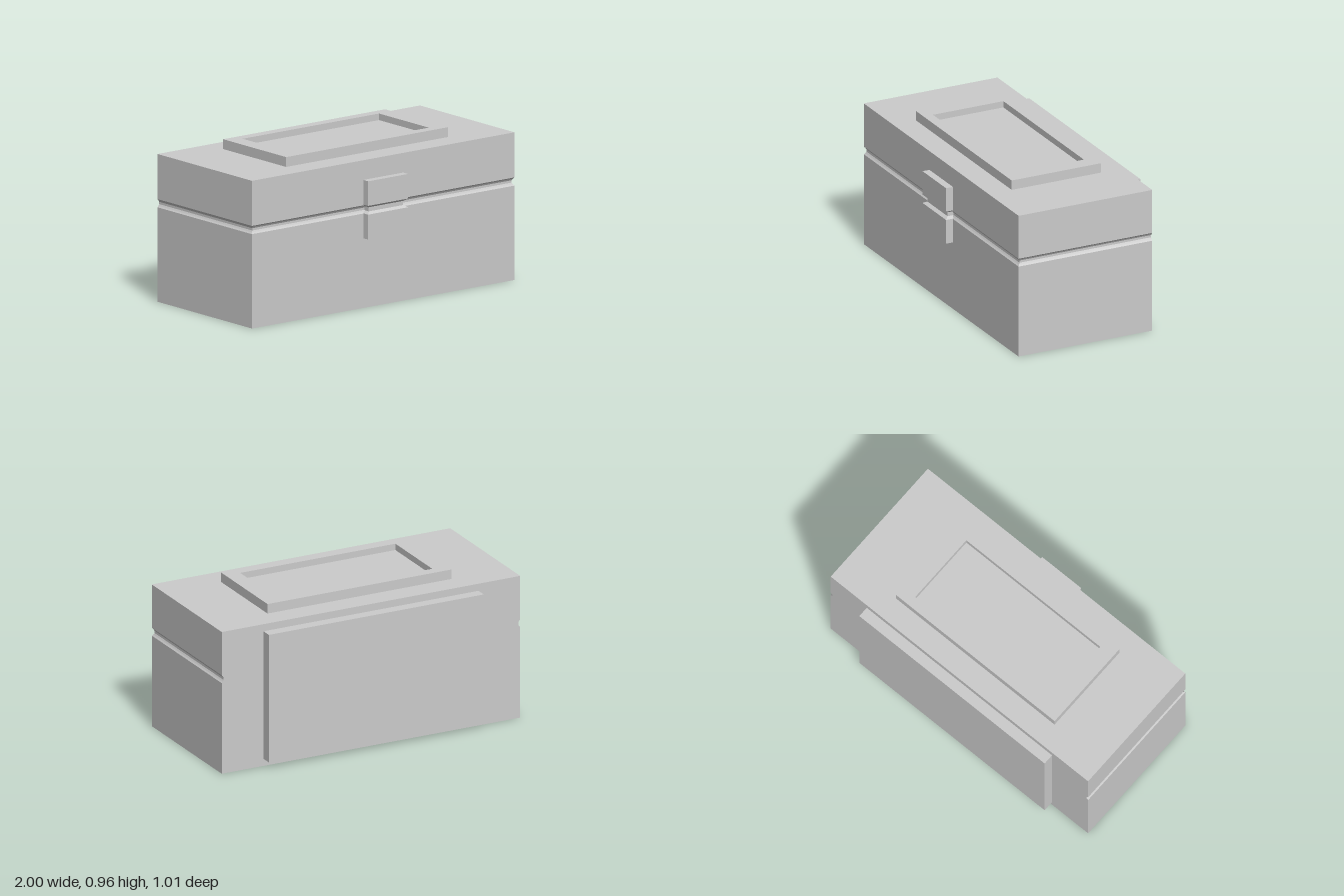
import * as THREE from 'three';

const material = new THREE.MeshStandardMaterial({ color: 0xcccccc, flatShading: true });

function add(group, name, geometry, x = 0, y = 0, z = 0) {
  const mesh = new THREE.Mesh(geometry, material);
  mesh.name = name;
  mesh.position.set(x, y, z);
  group.add(mesh);
}

// Block from stacked rectangles; each level is [y, inset] and insets the front and both sides.
function groovedBlock(halfX, back, front, levels) {
  const rings = levels.map(([y, d]) => {
    const x = halfX - d, f = front - d;
    return [[-x, y, f], [x, y, f], [x, y, back], [-x, y, back]];
  });
  const positions = [];
  const quad = (a, b, c, d) => positions.push(...a, ...b, ...c, ...a, ...c, ...d);
  for (let i = 0; i < rings.length - 1; i++) {
    const lo = rings[i], hi = rings[i + 1];
    for (let k = 0; k < 4; k++) {
      const n = (k + 1) % 4;
      quad(lo[k], lo[n], hi[n], hi[k]);
    }
  }
  const [a, b, c, d] = rings[0];
  quad(d, c, b, a);
  quad(...rings[rings.length - 1]);
  const geometry = new THREE.BufferGeometry();
  geometry.setAttribute('position', new THREE.Float32BufferAttribute(positions, 3));
  geometry.computeVertexNormals();
  return geometry;
}

export function createModel() {
  const group = new THREE.Group();
  group.name = 'chest';

  // Body and lid, separated by a shallow groove that stops at the back
  add(group, 'body', groovedBlock(1, -0.435, 0.457, [
    [0, 0], [0.575, 0], [0.583, 0.007], [0.593, 0.013], [0.607, 0.013],
    [0.617, 0.007], [0.625, 0], [0.9, 0],
  ]));

  // Front clasp, pinched where it crosses the groove
  add(group, 'clasp', groovedBlock(0.152, 0.44, 0.503, [
    [0.425, 0], [0.577, 0], [0.59, 0.022], [0.615, 0.022], [0.63, 0], [0.78, 0],
  ].map(([y, d]) => [y, d * 0.95])));

  // Panel on the back
  add(group, 'backPanel', new THREE.BoxGeometry(1.44, 0.81, 0.068), 0, 0.45, -0.469);

  // Raised frame on the lid, with a recessed floor
  const frame = new THREE.Shape();
  const rectangle = (path, x, z0, z1) => path
    .moveTo(-x, -z1).lineTo(x, -z1).lineTo(x, -z0).lineTo(-x, -z0).closePath();
  rectangle(frame, 0.617, -0.29, 0.305);
  const opening = new THREE.Path();
  rectangle(opening, 0.52, -0.227, 0.243);
  frame.holes.push(opening);
  const frameGeometry = new THREE.ExtrudeGeometry(frame, { depth: 0.06, bevelEnabled: false });
  frameGeometry.rotateX(-Math.PI / 2);
  add(group, 'lidFrame', frameGeometry, 0, 0.9, 0);
  add(group, 'lidFrameFloor', new THREE.BoxGeometry(1.04, 0.02, 0.47), 0, 0.91, 0.008);

  return group;
}
